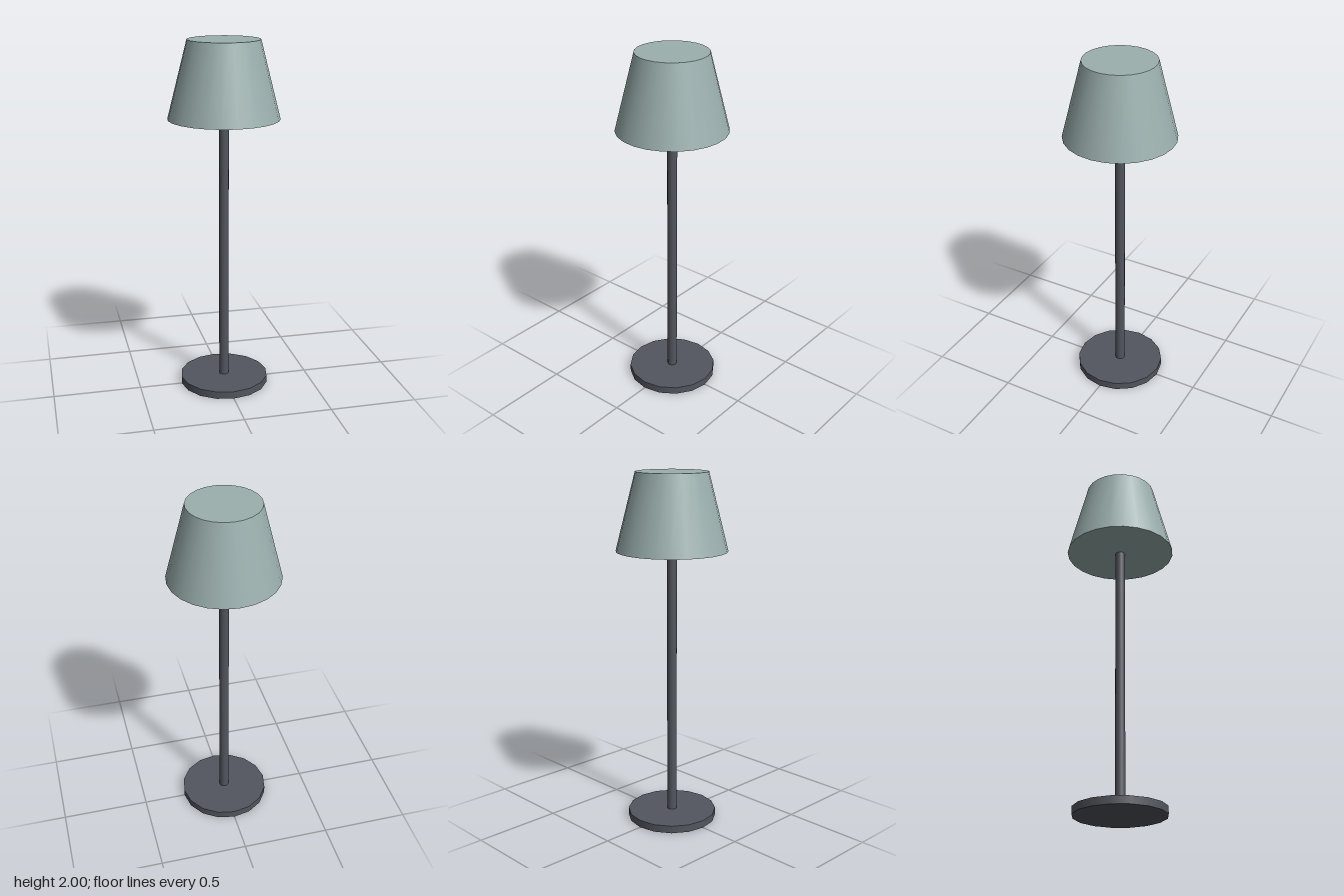
import * as THREE from 'three';

export function createModel() {
  const group = new THREE.Group();
  group.name = 'tableLamp';

  const shadeGreen = new THREE.MeshStandardMaterial({ color: 0x9bb0ae });
  shadeGreen.name = 'sage green';
  const darkMetal = new THREE.MeshStandardMaterial({ color: 0x53565f });
  darkMetal.name = 'dark grey metal';

  // Upright round part between two heights
  function addRound(name, rTop, rBottom, y0, y1, sides, material) {
    const mesh = new THREE.Mesh(new THREE.CylinderGeometry(rTop, rBottom, y1 - y0, sides), material);
    mesh.position.y = (y0 + y1) / 2;
    mesh.name = name;
    group.add(mesh);
  }

  // Flat foot, slim stem and closed tapered shade
  addRound('base', 0.255, 0.255, 0, 0.043, 16, darkMetal);
  addRound('stem', 0.028, 0.028, 0.04, 1.58, 12, darkMetal);
  addRound('shade', 0.2, 0.31, 1.57, 2, 24, shadeGreen);

  return group;
}
